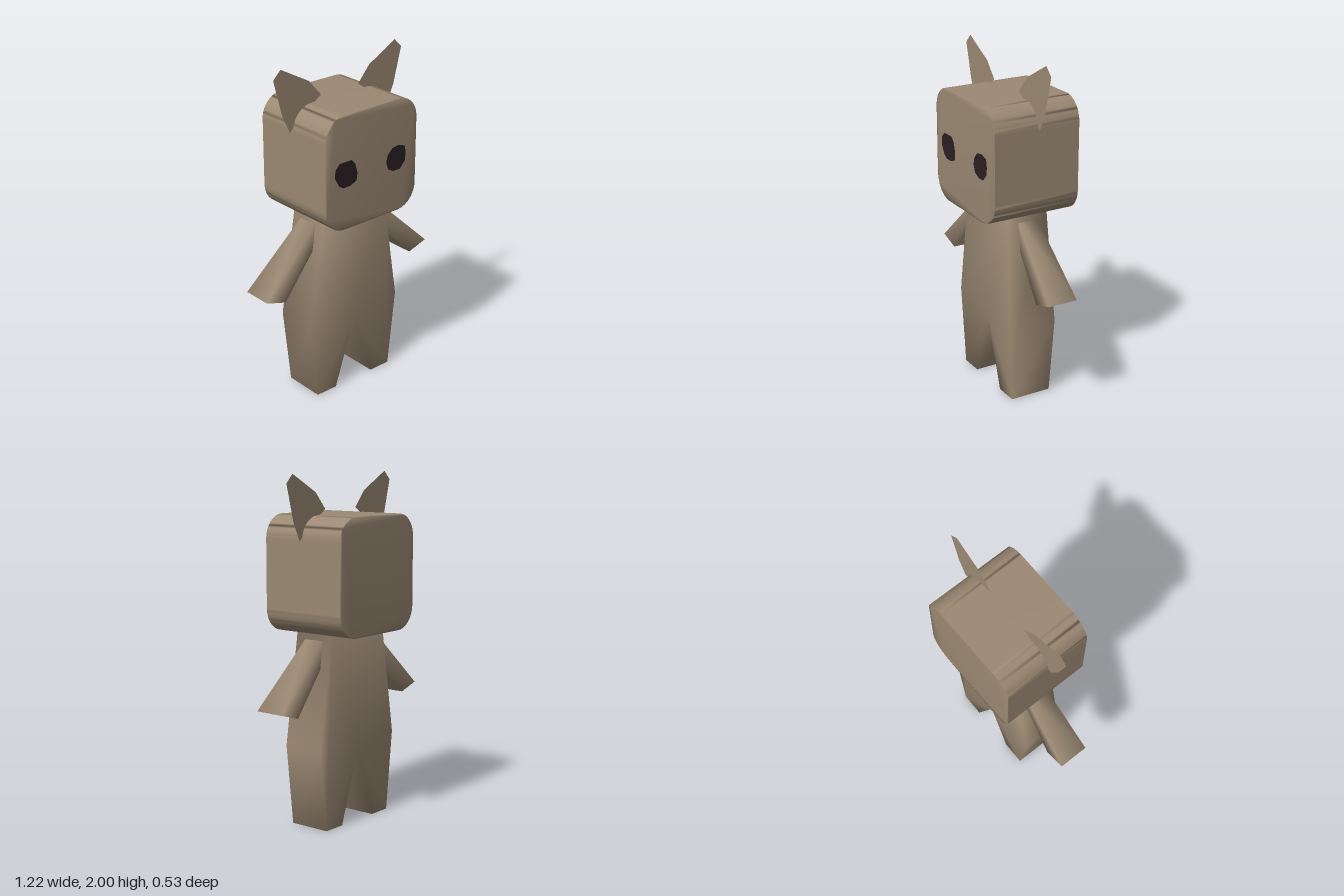
import * as THREE from 'three';
import { mergeVertices } from 'three/addons/utils/BufferGeometryUtils.js';

const fur = new THREE.MeshStandardMaterial({ color: 0x9b8973 });
fur.name = 'tan fur';
const furThin = fur;
furThin.side = THREE.DoubleSide; // the ears are single sheets
const dark = new THREE.MeshStandardMaterial({ color: 0x2a2022 });
dark.name = 'dark eye';

// Share corners so that normals blend softly over every edge
function soften(geometry) {
  geometry.deleteAttribute('normal');
  geometry.deleteAttribute('uv');
  const merged = mergeVertices(geometry, 1e-4);
  merged.computeVertexNormals();
  return merged;
}

const outline = (points) => new THREE.Shape(points.map(([x, y]) => new THREE.Vector2(x, y)));

// Front outline pushed to a depth centred on z = 0
function slab(shape, depth, curveSegments = 8) {
  const g = new THREE.ExtrudeGeometry(shape, { depth, bevelEnabled: false, curveSegments });
  g.translate(0, 0, -depth / 2);
  return soften(g);
}

function roundedRect(x0, y0, x1, y1, r) {
  const s = new THREE.Shape();
  s.absarc(x1 - r, y1 - r, r, 0, Math.PI / 2);
  s.absarc(x0 + r, y1 - r, r, Math.PI / 2, Math.PI);
  s.absarc(x0 + r, y0 + r, r, Math.PI, Math.PI * 1.5);
  s.absarc(x1 - r, y0 + r, r, Math.PI * 1.5, Math.PI * 2);
  s.closePath();
  return s;
}

// Box whose corners move to a slim shoulder and a wide hand
function armGeometry(side) {
  const g = new THREE.BoxGeometry(1, 1, 1);
  const p = g.attributes.position;
  for (let i = 0; i < p.count; i++) {
    const hand = p.getX(i) * side > 0;
    const upper = p.getY(i) > 0;
    const [x, y] = hand ? (upper ? [0.61, 0.72] : [0.48, 0.68]) : (upper ? [0.2, 1.11] : [0.2, 0.985]);
    p.setXYZ(i, x * side, y, Math.sign(p.getZ(i)) * (hand ? 0.09 : 0.06));
  }
  return soften(g);
}

export function createModel() {
  const model = new THREE.Group();
  model.name = 'animalFigure';
  const add = (name, geometry, material) => {
    const mesh = new THREE.Mesh(geometry, material);
    mesh.name = name;
    model.add(mesh);
    return mesh;
  };

  // Torso and both legs in one outline
  const half = [[0.14, 0], [0.28, 0], [0.333, 0.47], [0.23, 1.12]];
  const mirrored = half.map(([x, y]) => [-x, y]).reverse();
  add('body', slab(outline([[0, 0.41], ...half, ...mirrored]), 0.25), fur);

  // Head, rounded only as seen from the front
  add('head', slab(roundedRect(-0.333, 1.105, 0.333, 1.77, 0.135), 0.53), fur);

  // Arms and flat ears
  const ear = [[0.41, 2.0], [0.46, 1.95], [0.405, 1.74], [0.355, 1.635], [0.3, 1.68],
    [0.18, 1.77], [0.135, 1.8], [0.217, 1.895]];
  for (const [label, side] of [['left', 1], ['right', -1]]) {
    add(label + 'Arm', armGeometry(side), fur);
    add(label + 'Ear', new THREE.ShapeGeometry(outline(ear.map(([x, y]) => [x * side, y]))), furThin);
  }

  // Slightly uneven painted eyes
  const eyes = {
    rightEye: [[-0.27, 1.43], [-0.265, 1.475], [-0.235, 1.505], [-0.15, 1.505], [-0.125, 1.48],
      [-0.108, 1.42], [-0.115, 1.375], [-0.16, 1.357], [-0.21, 1.357], [-0.24, 1.375]],
    leftEye: [[0.105, 1.42], [0.115, 1.46], [0.15, 1.495], [0.2, 1.5], [0.245, 1.485],
      [0.253, 1.44], [0.248, 1.395], [0.21, 1.355], [0.16, 1.355], [0.12, 1.375]],
  };
  for (const [name, points] of Object.entries(eyes)) {
    add(name, new THREE.ShapeGeometry(outline(points)), dark).position.z = 0.269;
  }
  return model;
}
